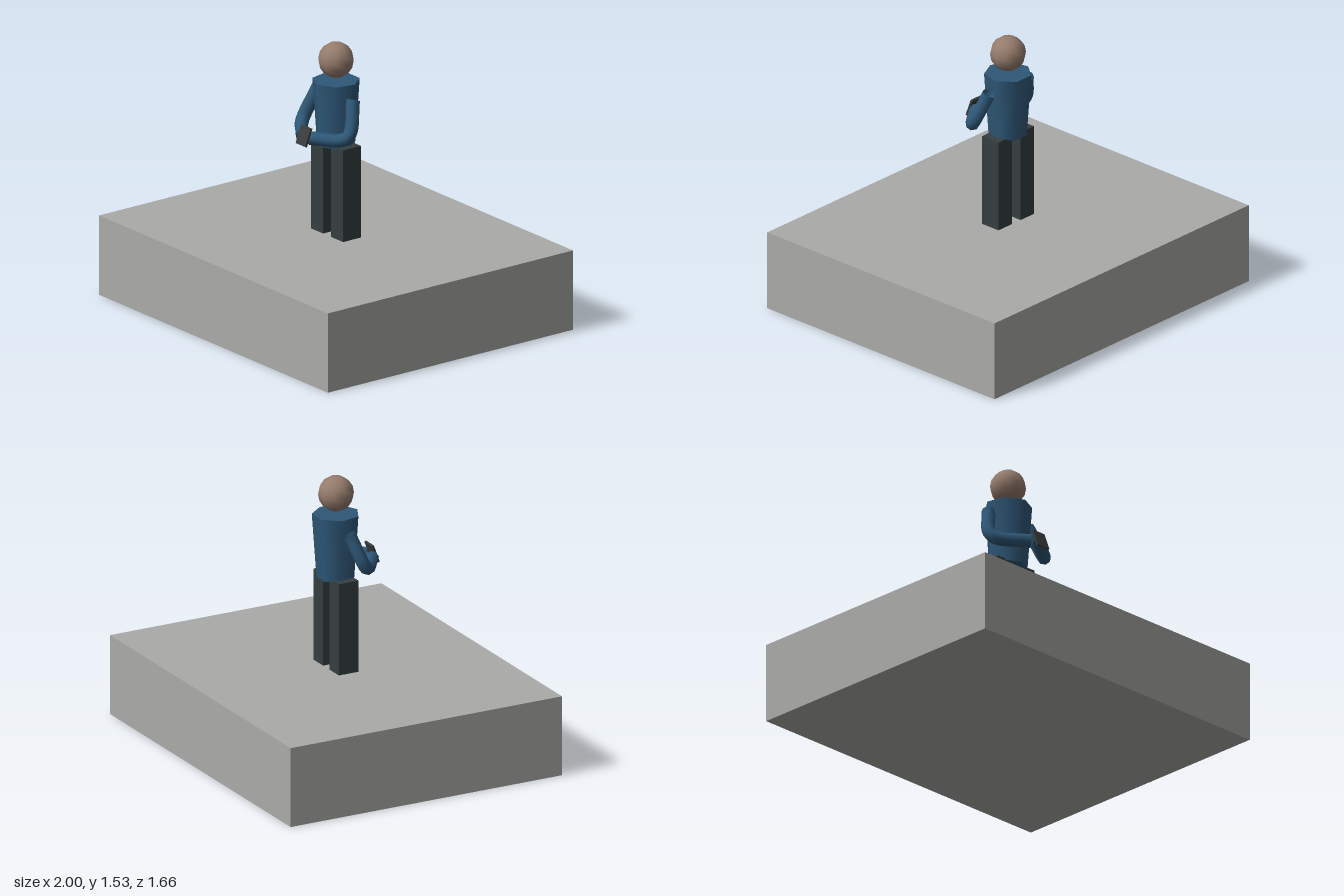
import * as THREE from 'three';

const material = (color, side = THREE.FrontSide) => new THREE.MeshStandardMaterial({ color, side });

export function createModel() {
  const model = new THREE.Group();
  model.name = 'standingFigure';
  const trousers = material(0x343e40);
  const jacket = material(0x2f5878, THREE.DoubleSide);

  const add = (name, geometry, mat, x, y, z, parent = model) => {
    const mesh = new THREE.Mesh(geometry, mat);
    mesh.name = name;
    mesh.position.set(x, y, z);
    parent.add(mesh);
    return mesh;
  };

  // Wide plinth under the figure
  add('platform', new THREE.BoxGeometry(2, 0.45, 1.66), material(0xaaaaa8), 0, 0.225, 0);

  // Seven-sided tapered body and low-poly round head
  add('torso', new THREE.CylinderGeometry(0.13, 0.105, 0.36, 7), jacket, 0, 1.14, 0);
  add('head', new THREE.SphereGeometry(0.098, 10, 8), material(0x957c6d), 0, 1.434, 0);

  for (const [side, s] of [['left', 1], ['right', -1]]) {
    // Square leg
    add(side + 'Leg', new THREE.BoxGeometry(0.105, 0.52, 0.12), trousers, s * 0.0875, 0.71, 0);

    // Bent arm: shoulder, elbow, hand
    const path = new THREE.CatmullRomCurve3([
      new THREE.Vector3(s * 0.15, 1.245, 0),
      new THREE.Vector3(s * 0.195, 1.06, 0.075),
      new THREE.Vector3(s * 0.03, 1.04, 0.205),
    ]);
    add(side + 'Arm', new THREE.TubeGeometry(path, 16, 0.037, 8), jacket, 0, 0, 0);
  }

  // Thin tablet held in front, leaning back
  const tablet = add('tablet', new THREE.BoxGeometry(0.085, 0.105, 0.012), material(0x3a3d3d), 0.017, 1.055, 0.23);
  tablet.rotation.x = -0.36;

  return model;
}
